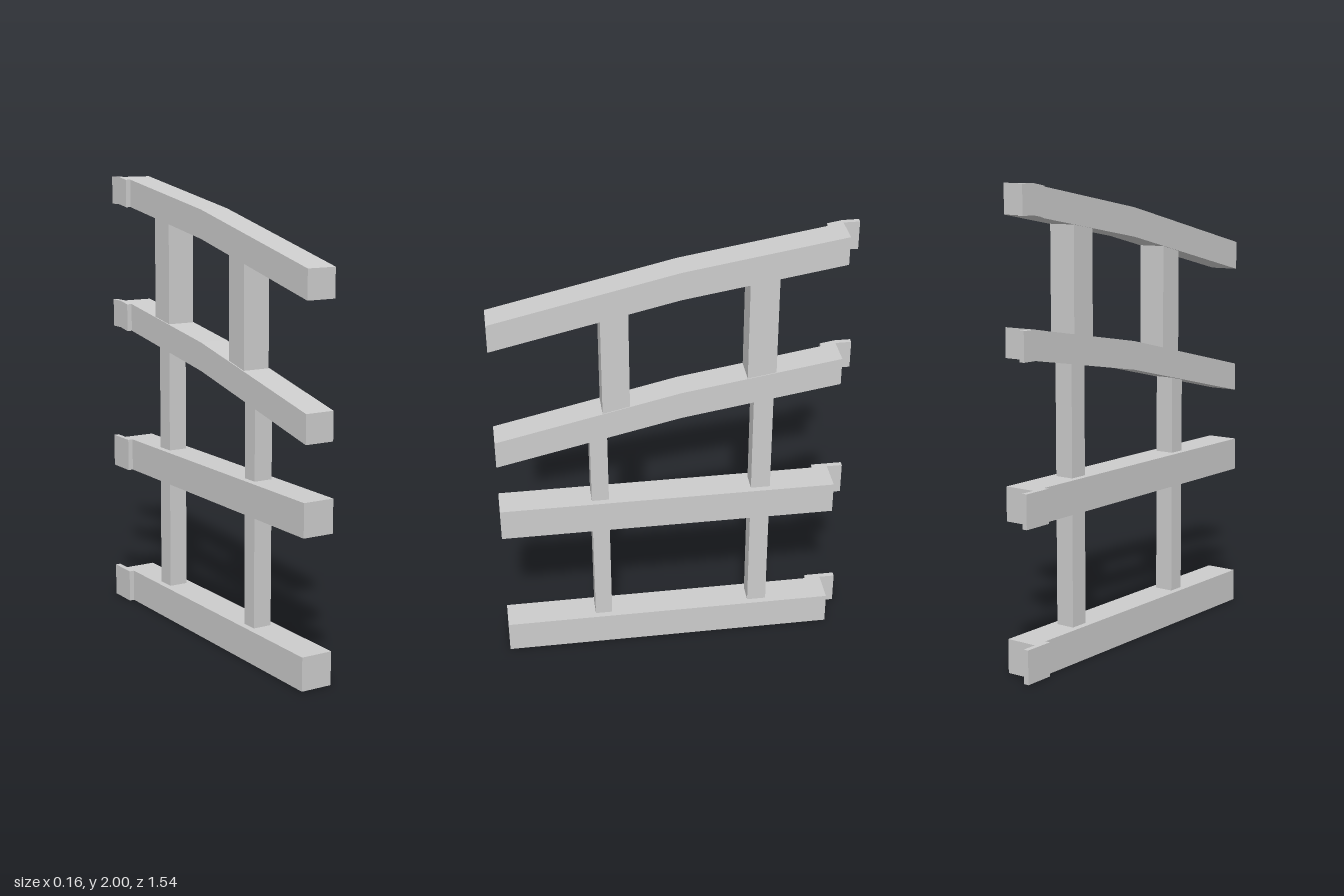
import * as THREE from 'three';

const material = new THREE.MeshStandardMaterial({ color: 0xcccccc, flatShading: true });

// Side profile given as [z, y] points, extruded from x0 to x1
function slab(name, points, x0, x1) {
  const shape = new THREE.Shape(points.map(([z, y]) => new THREE.Vector2(z, y)));
  const geometry = new THREE.ExtrudeGeometry(shape, { depth: x1 - x0, bevelEnabled: false });
  geometry.rotateY(-Math.PI / 2).translate(x1, 0, 0);
  const mesh = new THREE.Mesh(geometry, material);
  mesh.name = name;
  return mesh;
}

const rect = (z0, z1, y0, y1) => [[z0, y0], [z1, y0], [z1, y1], [z0, y1]];

// Top line of the bent rails, relative to the rail's highest point
const FRONT = 0.772, BEND = -0.02, BACK = -0.703, TIP = -0.772;
function bentTop(z) {
  if (z > BEND) return -0.11 - 0.18 * (z - BEND) / (FRONT - BEND);
  return -0.11 * Math.max(0, (z - BACK) / (BEND - BACK));
}

// Band of constant height following the bent line through the given z stations
function bentBand(stations, top, height) {
  const upper = stations.map((z) => [z, top + bentTop(z)]);
  const lower = stations.map((z) => [z, top + bentTop(z) - height]).reverse();
  return [...upper, ...lower];
}

export function createModel() {
  const model = new THREE.Group();
  model.name = 'fencePanel';

  // Straight lower rails with their overlapping end tabs
  for (const [y0, y1] of [[0, 0.145], [0.64, 0.785]]) {
    model.add(slab('straightRail', rect(BACK, FRONT, y0, y1), -0.062, 0.08));
    model.add(slab('straightRailTab', rect(TIP, -0.635, y0, y1), -0.085, -0.062));
  }

  // Bent upper rails with tabs that level out at the back
  const height = 0.124;
  for (const top of [1.432, 2]) {
    model.add(slab('bentRail', bentBand([BACK, BEND, FRONT], top, height), -0.057, 0.075));
    model.add(slab('bentRailTab', bentBand([TIP, BACK, -0.64], top, height), -0.08, -0.057));
  }

  // Thin posts between the lower rails and up to the first bent rail
  for (const [z0, z1] of [[0.295, 0.37], [-0.42, -0.335]]) {
    model.add(slab('lowerPost', rect(z0, z1, 0.145, 0.64), -0.033, 0.052));
    const y = (z) => 1.432 - height + bentTop(z);
    model.add(slab('middlePost', [[z0, 0.785], [z1, 0.785], [z1, y(z1)], [z0, y(z0)]], -0.033, 0.052));
  }

  // Wide posts between the two bent rails
  for (const [z0, z1] of [[0.197, 0.313], [-0.424, -0.302]]) {
    const foot = (z) => 1.432 + bentTop(z);
    const head = (z) => 2 - height + bentTop(z);
    model.add(slab('upperPost', [[z0, foot(z0)], [z1, foot(z1)], [z1, head(z1)], [z0, head(z0)]], -0.052, 0.071));
  }

  return model;
}
